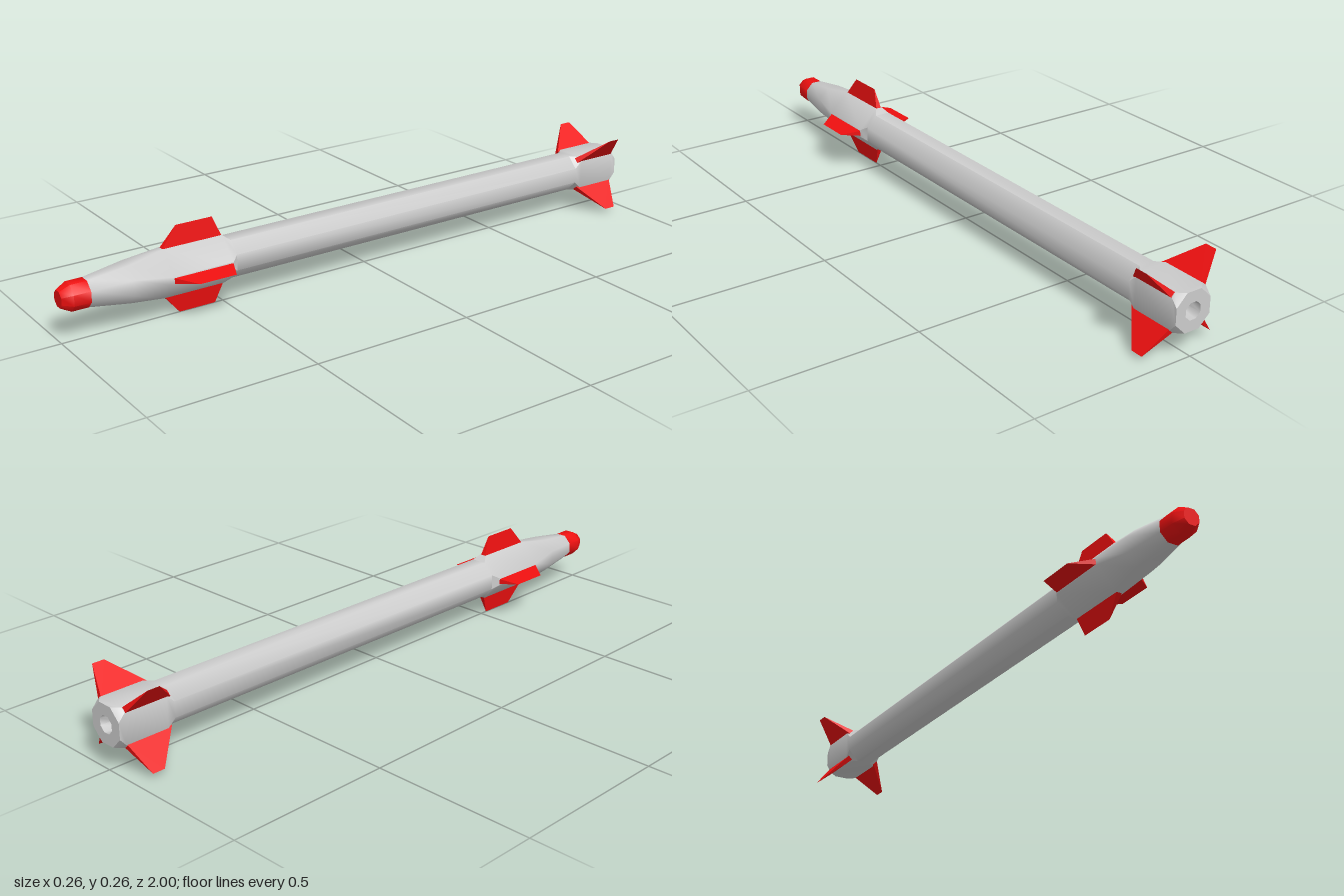
import * as THREE from 'three';
import { toCreasedNormals } from 'three/addons/utils/BufferGeometryUtils.js';

const grey = new THREE.MeshStandardMaterial({ color: 0xcccccc });
const red = new THREE.MeshStandardMaterial({ color: 0xee1010 });
const AXIS_Y = 0.132;

// Eight-sided loft along z, front to back. Each section is [z, a, h]:
// a = distance of the four axial flats, h = their half width.
function loft(sections) {
  const pos = [], index = [];
  for (const [z, a, h] of sections) {
    const ring = [[a, -h], [a, h], [h, a], [-h, a], [-a, h], [-a, -h], [-h, -a], [h, -a]];
    for (const [x, y] of ring) pos.push(x, y, z);
  }
  for (let s = 0; s < sections.length - 1; s++) {
    for (let i = 0; i < 8; i++) {
      const j = (i + 1) % 8;
      const a = s * 8 + i, b = s * 8 + j, c = b + 8, d = a + 8;
      index.push(a, d, b, b, d, c);
    }
  }
  const geo = new THREE.BufferGeometry();
  geo.setAttribute('position', new THREE.Float32BufferAttribute(pos, 3));
  geo.setIndex(index);
  return toCreasedNormals(geo, 0.8);
}

// Fin from a [z, radius] outline, thick at the root and sharp at the tip.
function finGeometry(outline, rootHalf) {
  const shape = new THREE.Shape(outline.map(([z, r]) => new THREE.Vector2(z, r)));
  const geo = new THREE.ExtrudeGeometry(shape, { depth: 2, bevelEnabled: false });
  geo.translate(0, 0, -1);
  const radii = outline.map((p) => p[1]);
  const root = Math.min(...radii), tip = Math.max(...radii);
  const p = geo.attributes.position;
  for (let i = 0; i < p.count; i++) {
    p.setZ(i, p.getZ(i) * rootHalf * (tip - p.getY(i)) / (tip - root));
  }
  geo.computeVertexNormals();
  return geo.rotateY(-Math.PI / 2);
}

function finSet(name, geo, startAngle) {
  const set = new THREE.Group();
  set.name = name + 's';
  for (let i = 0; i < 4; i++) {
    const fin = new THREE.Mesh(geo, red);
    fin.name = name;
    fin.rotation.z = startAngle + i * Math.PI / 2;
    set.add(fin);
  }
  return set;
}

export function createModel() {
  const model = new THREE.Group();
  model.name = 'missile';
  const rocket = new THREE.Group();
  rocket.name = 'airframe';
  rocket.position.y = AXIS_Y;
  model.add(rocket);

  // Seeker nose with chamfered tip
  const nose = new THREE.Mesh(loft([
    [1, 0, 0], [1, 0.024, 0.01], [0.97, 0.039, 0.016], [0.92, 0.039, 0.016],
  ]), red);
  nose.name = 'nose';

  // Hull: taper, front fin fairings, tube, tail fairings, recessed nozzle
  const hull = new THREE.Mesh(loft([
    [0.92, 0.039, 0.016],
    [0.8, 0.056, 0.023],
    [0.69, 0.073, 0.012],
    [0.5, 0.073, 0.012],
    [0.48, 0.058, 0.024],
    [-0.82, 0.058, 0.024],
    [-0.845, 0.058, 0.047],
    [-0.98, 0.058, 0.047],
    [-1, 0.058, 0.024],
    [-1, 0.025, 0.0104],
    [-0.96, 0.02, 0.0083],
    [-0.96, 0, 0],
  ]), grey);
  hull.name = 'hull';

  // Forward fins on the axes, tail fins on the diagonals
  const frontFin = finGeometry([[0.69, 0.07], [0.5, 0.07], [0.525, 0.132], [0.64, 0.132]], 0.009);
  const tailFin = finGeometry([[-0.83, 0.068], [-0.98, 0.068], [-0.948, 0.168], [-0.91, 0.168]], 0.009);

  rocket.add(nose, hull, finSet('frontFin', frontFin, 0), finSet('tailFin', tailFin, Math.PI / 4));
  return model;
}
